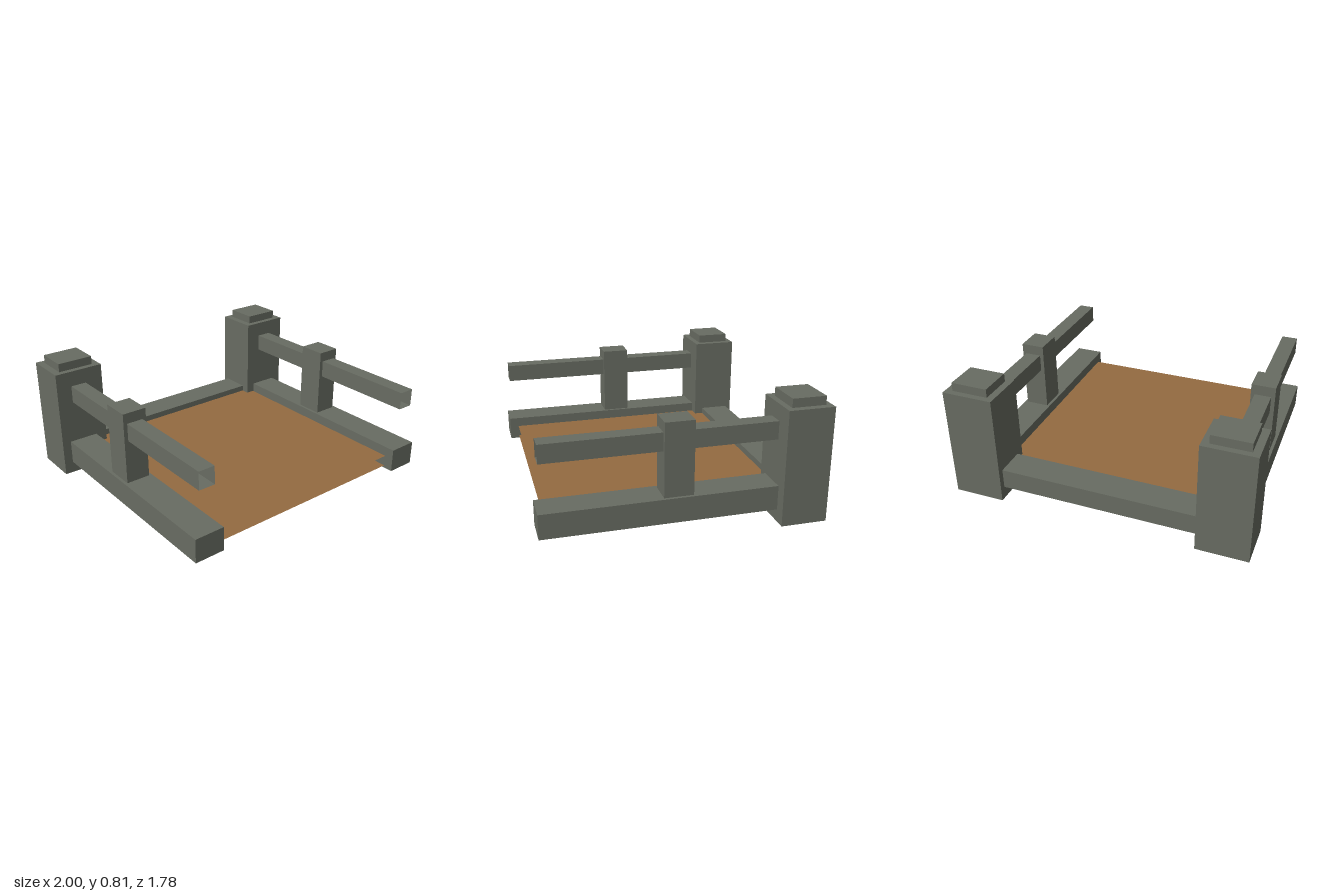
import * as THREE from 'three';

const stone = new THREE.MeshStandardMaterial({ color: 0x686c62, side: THREE.DoubleSide });
stone.name = 'greyStone';
const wood = new THREE.MeshStandardMaterial({ color: 0x946b41, side: THREE.DoubleSide });
wood.name = 'brownPlanks';

// Box given by its extents; keep lists the faces to build (0 +x, 1 -x, 2 +y, 3 -y, 4 +z, 5 -z)
function block(name, material, [x0, x1], [y0, y1], [z0, z1], keep = [0, 1, 2, 3, 4, 5]) {
  const geometry = new THREE.BoxGeometry(x1 - x0, y1 - y0, z1 - z0);
  const index = Array.from(geometry.index.array);
  geometry.setIndex(keep.flatMap((f) => index.slice(f * 6, f * 6 + 6)));
  geometry.clearGroups();
  const mesh = new THREE.Mesh(geometry, material);
  mesh.name = name;
  mesh.position.set((x0 + x1) / 2, (y0 + y1) / 2, (z0 + z1) / 2);
  return mesh;
}

export function createModel() {
  const model = new THREE.Group();
  model.name = 'bridgeEnd';

  // Deck: upper and lower sheets, open at the edges
  model.add(block('deck', wood, [-0.74, 0.72], [0.1, 0.175], [-0.65, 0.83], [2, 3]));

  // Cross beam between the end pillars
  model.add(block('crossBeam', stone, [-0.66, 0.66], [0.083, 0.217], [-0.85, -0.65]));

  for (const s of [-1, 1]) {
    const side = new THREE.Group();
    side.name = s < 0 ? 'rightSide' : 'leftSide';
    const span = (centre, width) => [centre - width / 2, centre + width / 2];
    const rail = s < 0 ? -0.84 : 0.823;
    const pillar = s * 0.83;

    // End pillar with its cap
    side.add(block('pillar', stone, span(pillar, 0.34), [0, 0.753], [-0.89, -0.59]));
    side.add(block('pillarCap', stone, span(pillar, 0.245), [0.753, 0.81], [-0.85, -0.63]));

    // Side beam, railing post and handrail (handrail ends are open)
    side.add(block('sideBeam', stone, span(rail, 0.2), [0.08, 0.24], [-0.6, 0.89]));
    side.add(block('railingPost', stone, span(rail, 0.16), [0.24, 0.717], [-0.05, 0.137]));
    side.add(block('handrail', stone, span(rail, 0.108), [0.53, 0.648], [-0.6, 0.87], [0, 1, 2, 3]));
    model.add(side);
  }
  return model;
}
